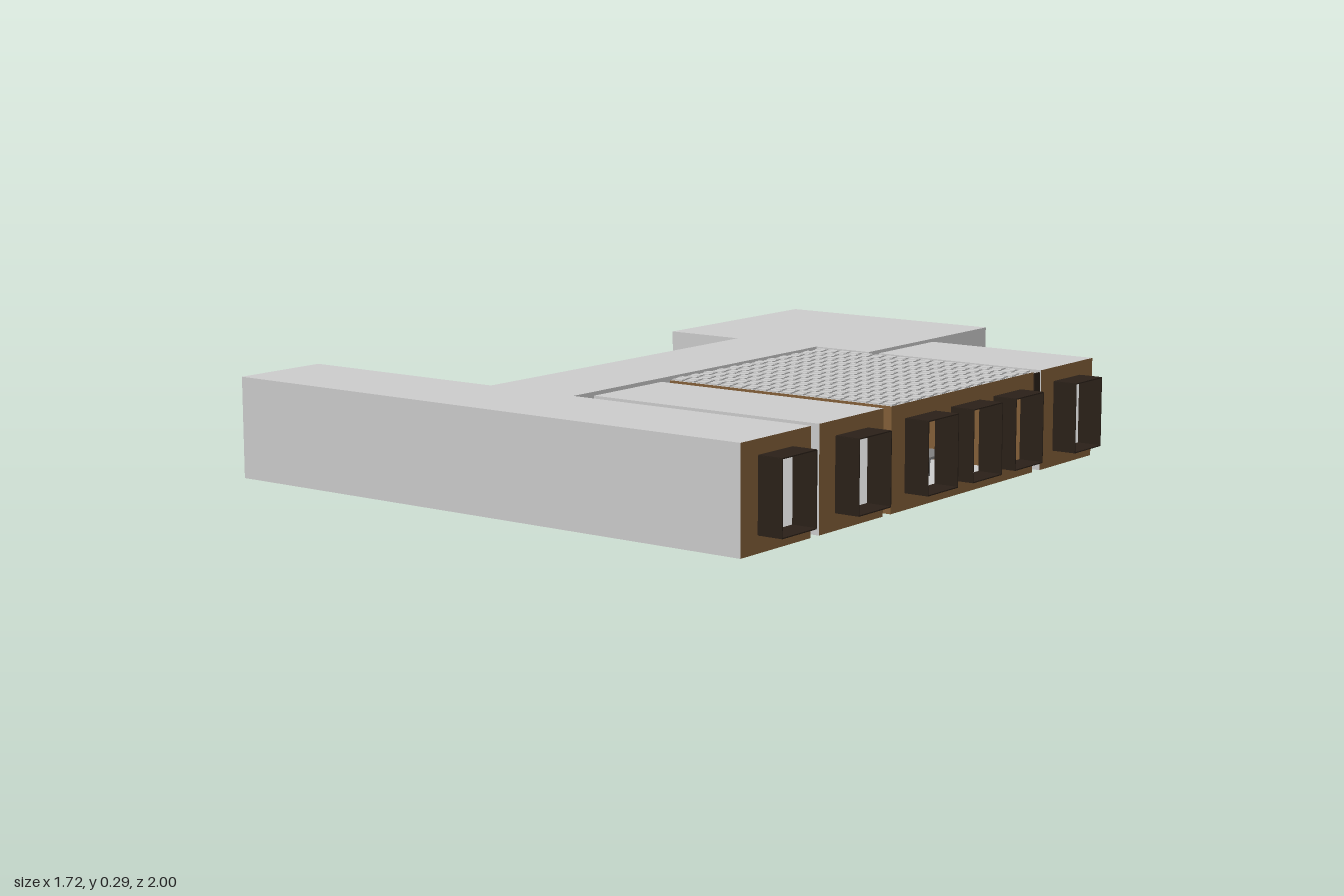
import * as THREE from 'three';
import { mergeGeometries } from 'three/addons/utils/BufferGeometryUtils.js';

const mat = (color) => new THREE.MeshStandardMaterial({ color, side: THREE.DoubleSide });
const grey = mat(0xcccccc), brown = mat(0x825f38), black = mat(0x2a2018), steel = mat(0x808080);
const Y0 = 0.01, Y1 = 0.285, EAST = 0.79;
const WIN = { half: 0.07, low: 0.055, high: 0.245 };

export function createModel() {
  const root = new THREE.Group();

  function add(parent, name, geometry, material) {
    const m = new THREE.Mesh(geometry, material);
    m.name = name;
    parent.add(m);
    return m;
  }
  // Box given by its limits on each axis
  function box(parent, name, x0, x1, y0, y1, z0, z1, material = grey) {
    const g = new THREE.BoxGeometry(x1 - x0, y1 - y0, z1 - z0);
    g.translate((x0 + x1) / 2, (y0 + y1) / 2, (z0 + z1) / 2);
    return add(parent, name, g, material);
  }
  // Upright wall sheet from p to q, with window holes centred at the given z values
  function wall(parent, p, q, material, windows = []) {
    const dx = q[0] - p[0], dz = q[1] - p[1], len = Math.hypot(dx, dz);
    const rect = (T, a, b, c, d) => new T([[a, c], [b, c], [b, d], [a, d]].map((v) => new THREE.Vector2(...v)));
    const s = rect(THREE.Shape, 0, len, Y0, Y1);
    for (const z of windows) {
      const u = Math.abs(z - p[1]);
      s.holes.push(rect(THREE.Path, u - WIN.half, u + WIN.half, WIN.low, WIN.high));
    }
    const m = add(parent, 'wall', new THREE.ShapeGeometry(s), material);
    m.position.set(p[0], 0, p[1]);
    m.rotation.y = Math.atan2(-dz, dx);
  }
  // Hollow room: floor, ceiling and walls, with the windowed east wall in brown
  function room(name, pts, windows, wallMat = grey) {
    const g = new THREE.Group();
    g.name = name;
    root.add(g);
    const outline = new THREE.Shape(pts.map(([x, z]) => new THREE.Vector2(x, -z)));
    for (const [part, y] of [['floor', Y0], ['ceiling', Y1]]) {
      const m = add(g, part, new THREE.ShapeGeometry(outline), grey);
      m.rotation.x = -Math.PI / 2;
      m.position.y = y;
    }
    pts.forEach((p, i) => {
      const q = pts[(i + 1) % pts.length];
      const east = p[0] === EAST && q[0] === EAST;
      wall(g, p, q, east ? brown : wallMat, east ? windows : []);
    });
    // Deep open window surrounds
    for (const z of windows) {
      const f = new THREE.Group();
      f.name = 'windowFrame';
      g.add(f);
      const t = 0.003, x1 = 0.86;
      for (const s of [-1, 1]) {
        const c = z + s * WIN.half;
        box(f, 'frameSide', EAST, x1, WIN.low, WIN.high, c - t / 2, c + t / 2, black);
        const y = s < 0 ? WIN.low : WIN.high;
        box(f, 'frameRail', EAST, x1, y - t / 2, y + t / 2, z - WIN.half, z + WIN.half, black);
      }
    }
    return g;
  }
  const rect = (x0, x1, z0, z1) => [[x0, z0], [x1, z0], [x1, z1], [x0, z1]];

  // Corridor joined to the back hall and the front wing
  room('corridorBlock', [
    [-0.47, -1], [0.23, -1], [0.23, -0.37], [0.05, -0.37], [0.05, 0.715], [EAST, 0.715],
    [EAST, 1], [-0.86, 1], [-0.86, 0.715], [-0.23, 0.715], [-0.23, -0.37], [-0.47, -0.37],
  ], [0.86]);
  room('backRoom', rect(0.265, EAST, -0.65, -0.37), [-0.51]);
  const big = room('largeRoom', rect(0.09, EAST, -0.33, 0.365), [-0.195, 0.015, 0.23], brown);
  room('frontRoom', rect(0.09, EAST, 0.4, 0.68), [0.54]);

  // Staggered ceiling tiles standing just proud of the large room
  const tiles = [];
  const nx = 18, nz = 24, px = 0.7 / nx, pz = 0.695 / nz;
  for (let j = 0; j < nz; j++) {
    for (let i = 0; i < nx; i++) {
      const t = new THREE.BoxGeometry(px * 0.75, 0.004, pz * 0.75);
      const shift = j % 2 ? 0.6 : 0.4;
      tiles.push(t.translate(0.09 + (i + shift) * px, Y1 + 0.002, -0.33 + (j + 0.5) * pz));
    }
  }
  add(big, 'ceilingTiles', mergeGeometries(tiles), grey);

  // Low tables in the large room
  for (const [x, z] of [[0.4, 0.02], [0.5, -0.17]]) {
    const t = new THREE.Group();
    t.name = 'table';
    big.add(t);
    box(t, 'tableTop', x - 0.1, x + 0.1, 0.055, 0.062, z - 0.06, z + 0.06, steel);
    for (const sx of [-1, 1]) for (const sz of [-1, 1]) {
      const lx = x + sx * 0.09, lz = z + sz * 0.05;
      box(t, 'tableLeg', lx - 0.005, lx + 0.005, 0.003, 0.055, lz - 0.005, lz + 0.005, steel);
    }
  }

  // Door passages between the rooms
  const doors = [
    [0.23, 0.26, -0.79, -0.72], [0.23, 0.265, -0.62, -0.55], [0.05, 0.09, 0.15, 0.225],
    [0.05, 0.09, 0.43, 0.5], [-0.265, -0.23, 0.15, 0.225], [0.65, 0.72, -0.37, -0.33],
  ];
  for (const [x0, x1, z0, z1] of doors) box(root, 'doorPassage', x0, x1, 0.008, 0.15, z0, z1);
  for (const x of [0.09, 0.785]) box(root, 'gapPost', x, x + 0.005, 0.03, 0.28, -0.365, -0.335, black);

  // Lift doorway: two leaves, jambs and a head against the wing
  function liftDoors(parent, x) {
    for (const s of [-1, 1]) {
      const c = x + s * 0.037;
      box(parent, 'doorLeaf', c - 0.035, c + 0.035, 0.005, 0.15, 0.697, 0.705, steel);
      const j = x + s * 0.075;
      box(parent, 'doorJamb', j - 0.005, j + 0.005, 0, 0.155, 0.69, 0.715, steel);
    }
    box(parent, 'doorHead', x - 0.08, x + 0.08, 0.15, 0.16, 0.69, 0.715, steel);
  }
  // Lift without a cabin: only its floor plate and doors
  const open = new THREE.Group();
  open.name = 'openLift';
  root.add(open);
  box(open, 'liftFloor', -0.81, -0.63, 0.003, 0.009, 0.505, 0.69);
  box(open, 'floorLip', -0.795, -0.65, 0.003, 0.009, 0.49, 0.505);
  liftDoors(open, -0.72);

  // Lift with a full cabin
  const cabin = new THREE.Group();
  cabin.name = 'liftCabin';
  root.add(cabin);
  box(cabin, 'cabinFloor', -0.53, -0.345, 0.003, 0.009, 0.505, 0.69, steel);
  box(cabin, 'cabinRoof', -0.53, -0.345, 0.16, 0.168, 0.505, 0.69, steel);
  for (const x of [-0.527, -0.352]) box(cabin, 'cabinSide', x, x + 0.004, 0.009, 0.16, 0.51, 0.69, steel);
  box(cabin, 'cabinBack', -0.525, -0.35, 0.009, 0.16, 0.508, 0.512, steel);
  for (const s of [-1, 1]) {
    const c = -0.437 + s * 0.037;
    box(cabin, 'backLeaf', c - 0.034, c + 0.034, 0.005, 0.15, 0.482, 0.49, steel);
    const j = -0.437 + s * 0.072;
    box(cabin, 'backJamb', j - 0.005, j + 0.005, 0.003, 0.155, 0.475, 0.505, steel);
  }
  box(cabin, 'backHead', -0.514, -0.36, 0.15, 0.16, 0.475, 0.505, steel);
  liftDoors(cabin, -0.437);
  box(cabin, 'callPanel', -0.555, -0.525, 0.06, 0.09, 0.705, 0.715, black);

  return root;
}
